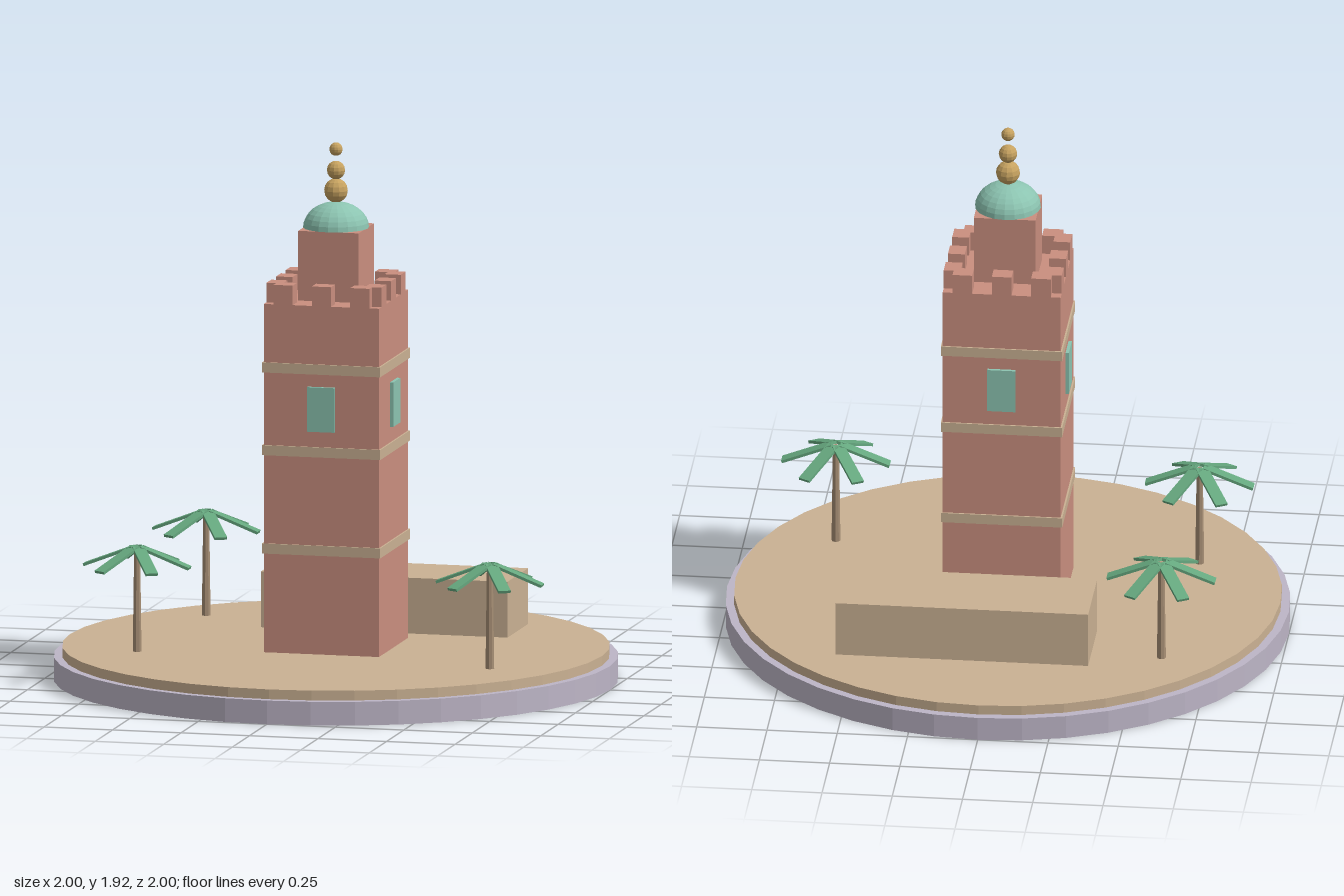
import * as THREE from 'three';

const mat = (name, color, flatShading = true) => {
  const m = new THREE.MeshStandardMaterial({ color, flatShading });
  m.name = name;
  return m;
};

export function createModel() {
  const root = new THREE.Group();
  root.name = 'towerDiorama';
  const stone = mat('greyStone', 0xbdb5c6);
  const sand = mat('sand', 0xcab193);
  const brick = mat('pinkBrick', 0xca8f7f);
  const teal = mat('tealTile', 0x8cc4b1);
  const gold = mat('gold', 0xc6a260);
  const leaf = mat('palmGreen', 0x66a87f);
  const bark = mat('bark', 0xa68e74);

  const add = (name, geo, material, x = 0, y = 0, z = 0, parent = root) => {
    const m = new THREE.Mesh(geo, material);
    m.name = name;
    m.position.set(x, y, z);
    parent.add(m);
    return m;
  };
  const box = (name, w, y0, y1, d, material, x = 0, z = 0, parent = root) =>
    add(name, new THREE.BoxGeometry(w, y1 - y0, d), material, x, (y0 + y1) / 2, z, parent);

  // Round plinth with sandy ground
  add('plinth', new THREE.CylinderGeometry(1, 1, 0.085, 40), stone, 0, 0.0425, 0);
  add('ground', new THREE.CylinderGeometry(0.97, 0.97, 0.035, 40), sand, 0, 0.1025, 0);

  // Low hall behind the tower
  box('hall', 0.9, 0.12, 0.32, 0.3, sand, 0.1, -0.45);

  // Tower shaft, bands and lantern
  box('towerShaft', 0.42, 0.12, 1.37, 0.42, brick);
  for (const y of [0.475, 0.828, 1.125]) box('band', 0.432, y, y + 0.036, 0.432, sand);
  box('lantern', 0.22, 1.37, 1.62, 0.22, brick);

  // Each side: one window and three merlons
  for (let i = 0; i < 4; i++) {
    const side = new THREE.Group();
    side.name = 'towerSide';
    side.rotation.y = i * Math.PI / 2;
    root.add(side);
    box('window', 0.1, 0.92, 1.08, 0.02, teal, 0, 0.212, side);
    for (const x of [-0.14, 0, 0.14]) box('merlon', 0.07, 1.37, 1.44, 0.06, brick, x, 0.18, side);
  }

  // Dome and stacked finial balls
  const dome = add('dome', new THREE.SphereGeometry(0.117, 20, 8, 0, Math.PI * 2, 0, Math.PI / 2), teal, 0, 1.62, 0);
  dome.scale.y = 0.78;
  const rim = add('domeUnderside', new THREE.CircleGeometry(0.117, 20), teal, 0, 1.62, 0);
  rim.rotation.x = Math.PI / 2;
  for (const [y, r] of [[1.752, 0.043], [1.825, 0.033], [1.9, 0.024]])
    add('finialBall', new THREE.SphereGeometry(r, 12, 8), gold, 0, y, 0);

  // Palms: tapered trunk with six drooping fronds
  for (const [x, z] of [[-0.6, -0.5], [-0.65, 0.3], [0.65, 0.35]]) {
    const palm = new THREE.Group();
    palm.name = 'palm';
    palm.position.set(x, 0.12, z);
    root.add(palm);
    add('trunk', new THREE.CylinderGeometry(0.011, 0.016, 0.37, 8), bark, 0, 0.185, 0, palm);
    for (let i = 0; i < 6; i++) {
      const pivot = new THREE.Group();
      pivot.name = 'frond';
      pivot.rotation.y = i * Math.PI / 3;
      palm.add(pivot);
      const blade = add('frondBlade', new THREE.BoxGeometry(0.19, 0.01, 0.045), leaf, 0.103, 0.34, 0, pivot);
      blade.rotation.z = -0.37;
    }
  }
  return root;
}
